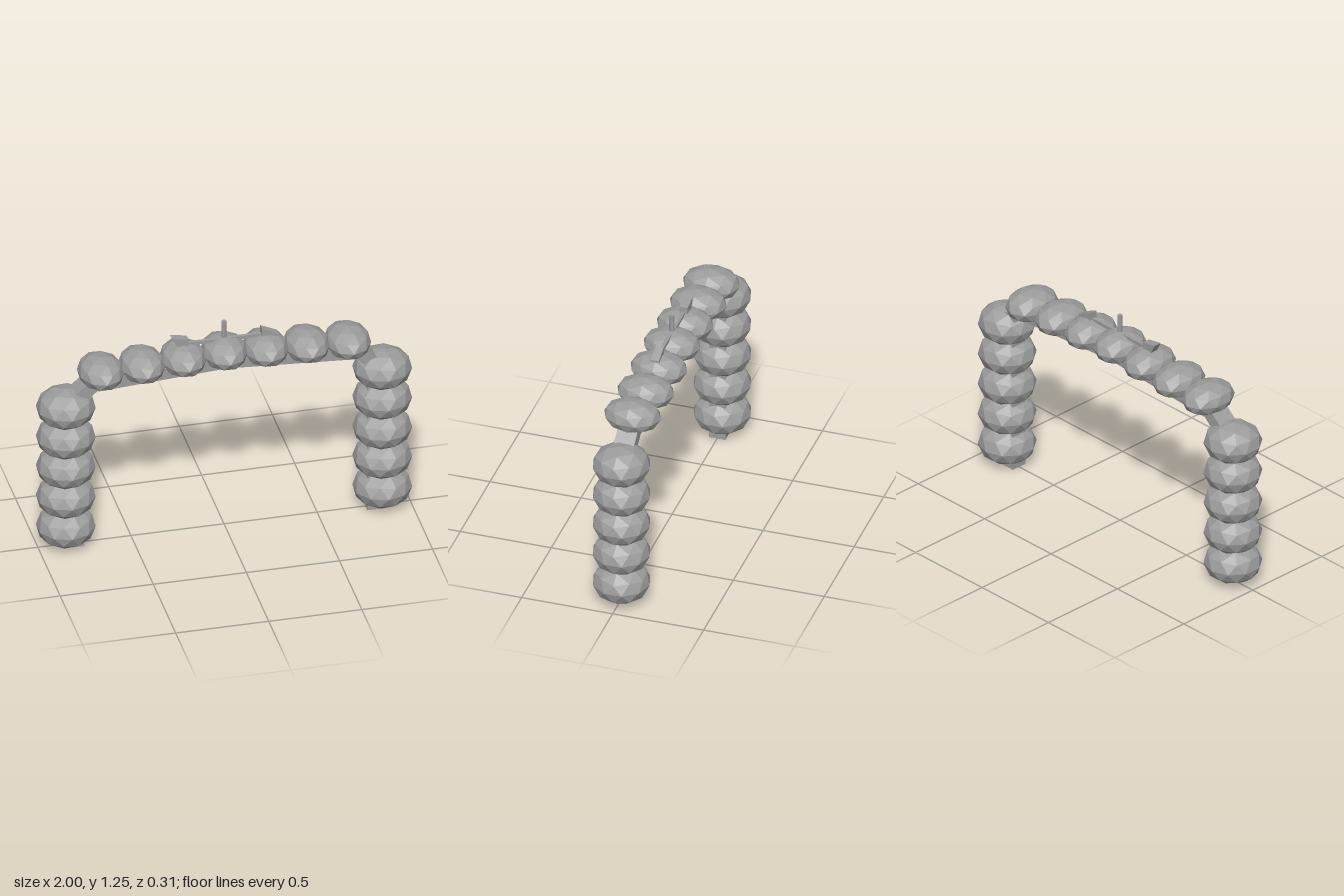
import * as THREE from 'three';

export function createModel() {
  const model = new THREE.Group();
  const grey = new THREE.MeshStandardMaterial({ color: 0x9c9c9c, flatShading: true });
  grey.name = 'plain grey';

  const add = (name, geometry, x = 0, y = 0, z = 0) => {
    const mesh = new THREE.Mesh(geometry, grey);
    mesh.name = name;
    mesh.position.set(x, y, z);
    model.add(mesh);
    return mesh;
  };
  // Flat outline in the front plane, thickened evenly about z = 0
  const plate = (name, points, depth) => {
    const shape = new THREE.Shape(points.map(([x, y]) => new THREE.Vector2(x, y)));
    const geometry = new THREE.ExtrudeGeometry(shape, { depth, bevelEnabled: false });
    return add(name, geometry.translate(0, 0, -depth / 2));
  };

  // Faceted balloon with a vertex at its top and bottom
  const balloon = new THREE.IcosahedronGeometry(1, 1).rotateZ(-0.5536);

  // Two columns of stacked balloons around a hidden post
  for (const side of [-1, 1]) {
    for (let i = 0; i < 5; i++) {
      add('columnBalloon', balloon, side * 0.85, 0.115 + i * 0.1815, 0).scale.set(0.157, 0.111, 0.155);
    }
    add('post', new THREE.BoxGeometry(0.1, 0.9, 0.09), side * 0.81, 0.45, 0);
    const brace = add('cornerBrace', new THREE.BoxGeometry(0.26, 0.07, 0.11), side * 0.735, 0.955, 0);
    brace.rotation.z = -side * 0.72;
  }

  // Row of balloons rising gently to the middle
  for (let i = -3; i <= 3; i++) {
    const y = 1.063 - Math.abs(i) * 0.01;
    add('beamBalloon', balloon, i * 0.221, y, 0).scale.set(0.122, 0.086, 0.155);
  }

  // Shallow gabled beam under the row
  plate('beam', [[-0.69, 0.942], [0, 0.985], [0.69, 0.942], [0.69, 1.01], [0, 1.05], [-0.69, 1.01]], 0.11);

  // Pointer on top: upright pin, crossbar and two end wedges
  add('pin', new THREE.CylinderGeometry(0.013, 0.013, 0.15, 8), 0, 1.17, 0);
  add('crossbar', new THREE.BoxGeometry(0.5, 0.018, 0.018), 0, 1.134, 0);
  plate('tailWedge', [[-0.255, 1.13], [-0.195, 1.13], [-0.195, 1.17], [-0.285, 1.186]], 0.044);
  plate('headWedge', [[0.2, 1.125], [0.288, 1.125], [0.288, 1.137], [0.2, 1.177]], 0.044);

  return model;
}
